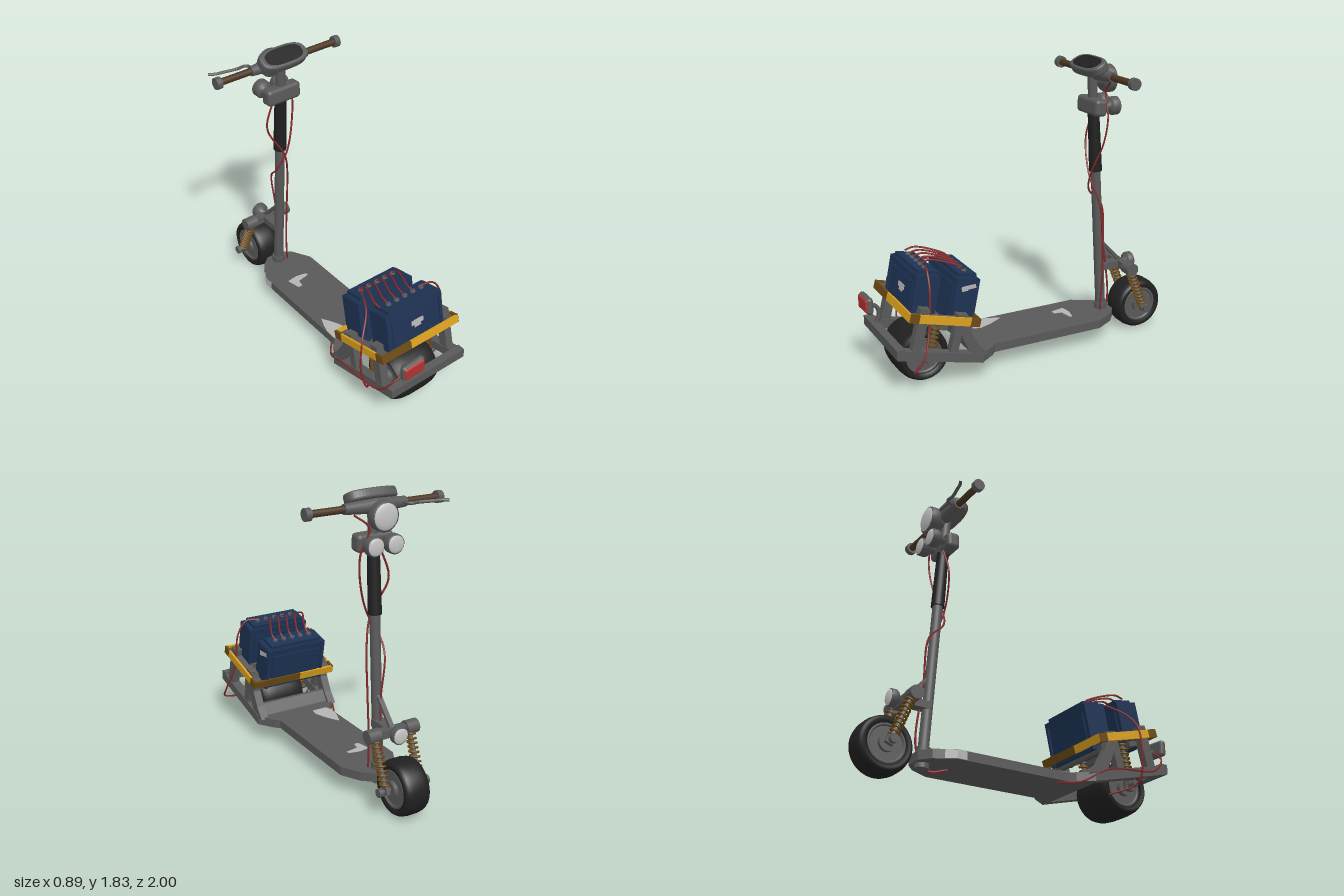
import * as THREE from 'three';
import { RoundedBoxGeometry } from 'three/addons/geometries/RoundedBoxGeometry.js';

const paint = (name, color) => { const m = new THREE.MeshStandardMaterial({ color }); m.name = name; return m; };
const V = (x, y, z) => new THREE.Vector3(x, y, z);

export function createModel() {
  const root = new THREE.Group();
  root.name = 'electricScooter';
  const grey = paint('frameGrey', 0x595959), dark = paint('rubberBlack', 0x202020), lens = paint('lensWhite', 0xc4c4c4);
  const blue = paint('batteryBlue', 0x1d3253), yellow = paint('strapYellow', 0xdaa01e), rust = paint('strapBrown', 0x6c4a14);
  const brown = paint('gripBrown', 0x4c3623), red = paint('tailRed', 0xb43232), wireRed = paint('wireRed', 0x86282a);
  const worn = paint('wornMetal', 0xb4b4b4);

  const add = (name, geo, mat, p = [0, 0, 0], r = [0, 0, 0], parent = root) => {
    const m = new THREE.Mesh(geo, mat);
    m.name = name; m.position.set(...p); m.rotation.set(...r);
    parent.add(m);
    return m;
  };
  const box = (name, mat, size, p, r, parent) => add(name, new THREE.BoxGeometry(...size), mat, p, r, parent);
  const rounded = (name, mat, size, rad, p, r) => add(name, new RoundedBoxGeometry(...size, 3, rad), mat, p, r);
  // rod between two points
  const rod = (name, mat, a, b, r0, r1 = r0, seg = 16) => {
    const A = V(...a), B = V(...b), d = B.clone().sub(A);
    const m = add(name, new THREE.CylinderGeometry(r1, r0, d.length(), seg), mat);
    m.position.copy(A).add(B).multiplyScalar(0.5);
    m.quaternion.setFromUnitVectors(V(0, 1, 0), d.normalize());
    return m;
  };
  // square beam between two points
  const beam = (name, mat, a, b, w, h) => {
    const A = V(...a), B = V(...b);
    const m = add(name, new THREE.BoxGeometry(w, h, A.distanceTo(B)), mat);
    m.position.copy(A).add(B).multiplyScalar(0.5);
    m.lookAt(B);
    return m;
  };
  const tube = (name, mat, pts, r = 0.006, n = 48) => add(name,
    new THREE.TubeGeometry(new THREE.CatmullRomCurve3(pts.map(p => V(...p))), n, r, 6), mat);
  // coil spring with its inner damper
  const spring = (name, a, b, rad, turns) => {
    const A = V(...a), d = V(...b).sub(A), q = new THREE.Quaternion().setFromUnitVectors(V(0, 1, 0), d.clone().normalize());
    const pts = [];
    for (let i = 0; i <= turns * 10; i++) {
      const t = i / (turns * 10), w = t * turns * Math.PI * 2;
      pts.push(V(Math.cos(w) * rad, t * d.length(), Math.sin(w) * rad).applyQuaternion(q).add(A).toArray());
    }
    tube(name, rust, pts, 0.007, turns * 14);
    rod(name + 'Damper', grey, a, b, rad * 0.5);
  };
  // plate with a (z, y) outline, x0 to x0 + w
  const sidePlate = (name, mat, pts, x0, w) => {
    const s = new THREE.Shape(pts.map(p => new THREE.Vector2(...p)));
    const g = new THREE.ExtrudeGeometry(s, { depth: w, bevelEnabled: false });
    g.rotateY(-Math.PI / 2).translate(x0 + w, 0, 0);
    return add(name, g, mat);
  };
  // flat plate with an (x, z) outline, y0 to y0 + h
  const floorPlate = (name, mat, pts, y0, h) => {
    const s = new THREE.Shape(pts.map(p => new THREE.Vector2(p[0], -p[1])));
    const g = new THREE.ExtrudeGeometry(s, { depth: h, bevelEnabled: false });
    g.rotateX(-Math.PI / 2).translate(0, y0, 0);
    return add(name, g, mat);
  };

  // Wheels
  const wheel = (name, z, half) => {
    const g = new THREE.Group();
    g.name = name; g.position.set(0, 0.167, z); g.rotation.z = Math.PI / 2;
    root.add(g);
    const prof = [[0.115, -half * 0.9], [0.135, -half], [0.15, -half * 0.95], [0.161, -half * 0.75], [0.167, -half * 0.35]];
    const full = [...prof, ...prof.slice().reverse().map(p => [p[0], -p[1]]), prof[0]];
    add('tyre', new THREE.LatheGeometry(full.map(p => new THREE.Vector2(...p)), 48), dark, undefined, undefined, g);
    add('rim', new THREE.CylinderGeometry(0.117, 0.117, half * 1.6, 40), grey, undefined, undefined, g);
    for (const s of [-1, 1]) {
      add('rimLip', new THREE.TorusGeometry(0.108, 0.01, 8, 40), grey, [0, s * half * 0.82, 0], [Math.PI / 2, 0, 0], g);
      add('hub', new THREE.CylinderGeometry(0.05, 0.05, 0.03, 24), grey, [0, s * half * 0.9, 0], undefined, g);
    }
  };
  wheel('rearWheel', 0.727, 0.153);
  wheel('frontWheel', -0.834, 0.083);

  // Deck with worn patches
  const half = [[0.055, -0.635], [0.12, -0.58], [0.186, -0.46], [0.186, 0.29], [0.215, 0.315], [0.285, 0.42]];
  floorPlate('deck', grey, [...half, ...half.slice().reverse().map(p => [-p[0], p[1]])], 0.115, 0.055);
  floorPlate('wornPatch', worn, [[-0.18, 0.2], [-0.165, 0.15], [-0.14, 0.09], [-0.11, 0.14], [-0.085, 0.19], [-0.06, 0.26], [-0.07, 0.31], [-0.17, 0.31], [-0.185, 0.27]], 0.17, 0.003);
  floorPlate('wornPatch', worn, [[-0.09, -0.34], [-0.02, -0.35], [0.05, -0.335], [0.055, -0.315], [-0.03, -0.3], [-0.04, -0.25], [-0.07, -0.25]], 0.17, 0.003);
  beam('wornEdge', worn, [-0.187, 0.143, -0.46], [-0.187, 0.143, -0.4], 0.003, 0.05);
  beam('wornEdge', worn, [-0.154, 0.143, -0.52], [-0.187, 0.143, -0.46], 0.003, 0.05);

  // Rear frame, mirrored
  for (const s of [-1, 1]) {
    const x = s * 0.255;
    sidePlate('rearRail', grey, [[0.41, 0.115], [0.57, 0.155], [0.95, 0.25], [0.95, 0.31], [0.57, 0.215], [0.41, 0.172]], x - 0.03, 0.06);
    sidePlate('rearStrut', grey, [[0.37, 0.16], [0.43, 0.23], [0.48, 0.32], [0.5, 0.44], [0.56, 0.44], [0.54, 0.3], [0.5, 0.21], [0.46, 0.17]], x - 0.025, 0.05);
    beam('rearPost', grey, [x, 0.27, 0.83], [x, 0.53, 0.765], 0.05, 0.06);
    beam('frontPost', grey, [x, 0.2, 0.6], [x, 0.45, 0.54], 0.05, 0.05);
    beam('cradleRail', grey, [x, 0.385, 0.46], [x, 0.49, 0.85], 0.05, 0.035);
    spring('rearSpring', [s * 0.2, 0.18, 0.72], [s * 0.2, 0.42, 0.67], 0.027, 9);
    box('axleBlock', grey, [0.03, 0.06, 0.06], [s * 0.18, 0.167, 0.727]);
  }
  sidePlate('wheelShield', grey, [[0.4, 0.16], [0.45, 0.235], [0.475, 0.235], [0.43, 0.16]], -0.235, 0.47);
  rod('rearAxle', grey, [-0.25, 0.167, 0.727], [0.25, 0.167, 0.727], 0.02);
  beam('rearCrossbar', grey, [-0.285, 0.28, 0.925], [0.285, 0.28, 0.925], 0.05, 0.06);
  for (const [y, z] of [[0.35, 0.51], [0.415, 0.72]]) box('cradleCrossbar', grey, [0.5, 0.03, 0.06], [0, y, z], [-0.27, 0, 0]);

  // Batteries
  const battery = (name, y, z) => {
    const g = new THREE.Group();
    g.name = name; g.position.set(0, y, z); g.rotation.x = -0.2;
    root.add(g);
    box('batteryCase', blue, [0.4, 0.29, 0.13], [0, -0.01, 0], undefined, g);
    box('batteryLid', blue, [0.36, 0.03, 0.12], [0, 0.14, 0], undefined, g);
    box('batteryCollar', blue, [0.42, 0.03, 0.15], [0, 0.115, 0], undefined, g);
    for (const s of [-1, 1]) {
      box('facePanel', blue, [0.34, 0.2, 0.012], [0, -0.02, s * 0.067], undefined, g);
      box('cornerTrim', blue, [0.02, 0.27, 0.15], [s * 0.2, -0.02, 0], undefined, g);
    }
    for (let i = -2; i <= 2; i++) add('terminal', new THREE.CylinderGeometry(0.015, 0.017, 0.012, 12), grey, [i * 0.062, 0.16, 0], undefined, g);
    return g;
  };
  const rear = battery('rearBattery', 0.568, 0.738), fore = battery('frontBattery', 0.505, 0.488);
  box('scuff', worn, [0.09, 0.03, 0.003], [0.015, 0.008, 0.075], undefined, rear);
  box('scuff', worn, [0.05, 0.05, 0.003], [0.015, 0.0, 0.075], undefined, rear);
  box('scuff', worn, [0.003, 0.025, 0.09], [0.211, 0.08, -0.01], [0.25, 0, 0], fore);
  box('scuff', worn, [0.003, 0.025, 0.04], [0.211, 0.068, 0.015], [0.25, 0, 0], fore);

  // Strap around the batteries
  const strap = new THREE.Group();
  strap.name = 'strap'; strap.position.set(0, 0.44, 0.65); strap.rotation.x = -0.26;
  root.add(strap);
  for (const s of [-1, 1]) {
    box('strapSide', yellow, [0.014, 0.05, 0.33], [s * 0.289, 0, 0], undefined, strap);
    for (const e of [-1, 1]) box('strapCorner', rust, [0.016, 0.052, 0.06], [s * 0.289, 0, e * 0.195], undefined, strap);
  }
  box('rearStrapBright', yellow, [0.37, 0.05, 0.014], [0.108, 0, 0.22], undefined, strap);
  box('rearStrapWorn', rust, [0.22, 0.05, 0.014], [-0.187, 0, 0.22], undefined, strap);
  box('frontStrapBright', yellow, [0.25, 0.05, 0.014], [-0.168, 0, -0.22], undefined, strap);
  box('frontStrapWorn', rust, [0.34, 0.05, 0.014], [0.127, 0, -0.22], undefined, strap);

  // Tail lamp
  rounded('tailLampHousing', grey, [0.165, 0.105, 0.042], 0.02, [-0.157, 0.443, 0.972], [0, 0, 0.05]);
  rounded('tailLampLens', red, [0.148, 0.088, 0.03], 0.014, [-0.157, 0.443, 0.985], [0, 0, 0.05]);
  tube('tailLampArm', grey, [[-0.157, 0.43, 0.95], [-0.157, 0.41, 0.91], [-0.157, 0.36, 0.895], [-0.157, 0.28, 0.925]], 0.014, 20);

  // Stem
  const stemZ = y => -0.582 + 0.065 * (y - 0.1);
  const stem = (name, mat, y0, y1, r0, r1) => rod(name, mat, [0, y0, stemZ(y0)], [0, y1, stemZ(y1)], r0, r1, 20);
  stem('stem', grey, 0.1, 1.76, 0.032, 0.03);
  stem('headTube', grey, 0.085, 0.21, 0.042, 0.042);
  stem('stemSleeve', dark, 1.11, 1.48, 0.041, 0.036);
  rounded('stemBox', grey, [0.24, 0.105, 0.085], 0.025, [0, 1.53, -0.48], [-0.06, 0, 0]);

  // Lamps face backwards along -z
  const lamp = (name, x, y, z, r, depth) => {
    const p = [[0, 0], [r * 0.4, 0], [r * 0.45, depth * 0.3], [r * 0.85, depth * 0.34], [r, depth * 0.48], [r, depth * 0.82], [r * 0.88, depth * 0.87]];
    add(name, new THREE.LatheGeometry(p.map(q => new THREE.Vector2(...q)), 28), grey, [x, y, z], [-Math.PI / 2, 0, 0]);
    const dome = new THREE.SphereGeometry(r * 0.9, 24, 8, 0, Math.PI * 2, 0, Math.PI / 2).scale(1, 0.25, 1);
    add(name + 'Lens', dome, lens, [x, y, z - depth * 0.84], [-Math.PI / 2, 0, 0]);
  };
  lamp('headLamp', 0, 1.69, -0.505, 0.086, 0.125);
  for (const s of [-1, 1]) lamp('spotLamp', s * 0.065, 1.53, -0.52, 0.057, 0.115);
  lamp('forkLamp', 0, 0.465, -0.725, 0.053, 0.09);

  // Handlebar
  const bar = (name, mat, x0, x1, r, r1) => rod(name, mat, [x0, 1.732, -0.5], [x1, 1.732, -0.5], r, r1, 20);
  bar('handlebar', grey, -0.42, 0.42, 0.014);
  for (const s of [-1, 1]) {
    bar('barClamp', grey, 0, s * 0.2, 0.045, 0.03);
    bar('grip', brown, s * 0.2, s * 0.41, 0.021);
    bar('gripCap', grey, s * 0.41, s * 0.445, 0.036);
  }
  tube('brakeLever', grey, [[-0.17, 1.735, -0.52], [-0.185, 1.735, -0.57], [-0.25, 1.735, -0.57], [-0.33, 1.735, -0.585], [-0.38, 1.735, -0.595], [-0.42, 1.735, -0.615]], 0.01, 30);

  // Dashboard, an oval dish with a screen
  const dash = new THREE.Group();
  dash.name = 'dashboard'; dash.position.set(0, 1.778, -0.453); dash.rotation.x = 0.49;
  root.add(dash);
  const oval = (w, d) => {
    const s = new THREE.Shape();
    for (let i = 0; i < 40; i++) {
      const a = i / 40 * Math.PI * 2, c = Math.cos(a), n = Math.sin(a);
      s[i ? 'lineTo' : 'moveTo'](w * Math.sign(c) * Math.abs(c) ** 0.65, d * Math.sign(n) * Math.abs(n) ** 0.75);
    }
    return s;
  };
  const dashPart = (name, mat, s, y0, h, b) => add(name, new THREE.ExtrudeGeometry(s,
    { depth: h, bevelEnabled: b > 0, bevelSize: b, bevelThickness: b, bevelSegments: 3 }).rotateX(-Math.PI / 2), mat, [0, y0, 0], undefined, dash);
  dashPart('dashBody', grey, oval(0.148, 0.06), -0.016, 0.03, 0.014);
  dashPart('dashScreen', dark, oval(0.128, 0.055), 0.026, 0.004, 0);

  // Front suspension
  beam('forkCrossbar', grey, [-0.15, 0.46, -0.71], [0.15, 0.46, -0.71], 0.05, 0.05);
  beam('forkBracket', grey, [0, 0.46, -0.55], [0, 0.46, -0.72], 0.07, 0.045);
  beam('forkBrace', grey, [0, 0.65, -0.55], [0, 0.48, -0.71], 0.03, 0.02);
  rod('frontAxle', grey, [-0.17, 0.167, -0.834], [0.17, 0.167, -0.834], 0.014);
  for (const s of [-1, 1]) {
    rod('crossbarEnd', grey, [s * 0.09, 0.46, -0.71], [s * 0.17, 0.46, -0.71], 0.042);
    spring('frontSpring', [s * 0.118, 0.18, -0.828], [s * 0.118, 0.43, -0.725], 0.026, 10);
    rod('frontAxleCap', grey, [s * 0.145, 0.167, -0.834], [s * 0.172, 0.167, -0.834], 0.026);
    box('dropout', grey, [0.025, 0.06, 0.05], [s * 0.118, 0.175, -0.832], [0.38, 0, 0]);
  }

  // Wiring
  for (let i = -2; i <= 2; i++) {
    const x = i * 0.062, k = Math.max(x - 0.062, -0.2);
    tube('batteryWire', wireRed, [[x, 0.662, 0.455], [x + 0.01, 0.69, 0.48], [(x + k) / 2, 0.728, 0.58], [k, 0.737, 0.65], [k, 0.725, 0.705]]);
  }
  tube('leftLoopWire', wireRed, [[0.124, 0.73, 0.7], [0.2, 0.73, 0.72], [0.26, 0.64, 0.73], [0.28, 0.4, 0.75], [0.325, 0.24, 0.8], [0.31, 0.16, 0.86], [0.25, 0.17, 0.8]]);
  tube('rightLoopWire', wireRed, [[-0.124, 0.67, 0.45], [-0.2, 0.64, 0.6], [-0.31, 0.52, 0.7], [-0.33, 0.33, 0.72], [-0.28, 0.16, 0.72], [-0.15, 0.1, 0.6]]);
  tube('tailWire', wireRed, [[-0.15, 0.43, 0.95], [-0.27, 0.34, 0.92], [-0.295, 0.25, 0.84], [-0.295, 0.2, 0.5], [-0.24, 0.105, 0.32], [-0.15, 0.11, 0.22]]);
  tube('stemWire', wireRed, [[0.15, 1.7, -0.52], [0.06, 1.62, -0.54], [0.11, 1.47, -0.53], [0.095, 1.3, -0.51], [0.02, 1.1, -0.47], [-0.045, 0.97, -0.5], [-0.03, 0.88, -0.58], [0, 0.6, -0.59], [0.02, 0.2, -0.61], [0.04, 0.09, -0.52], [0.05, 0.115, -0.42]], 0.006, 80);
  tube('stemWire', wireRed, [[-0.04, 1.48, -0.51], [-0.1, 1.3, -0.5], [0, 1.09, -0.47], [0.055, 0.9, -0.52], [0.06, 0.7, -0.54], [0.05, 0.3, -0.55], [0.04, 0.1, -0.52], [0, 0.11, -0.42]], 0.006, 80);
  return root;
}
